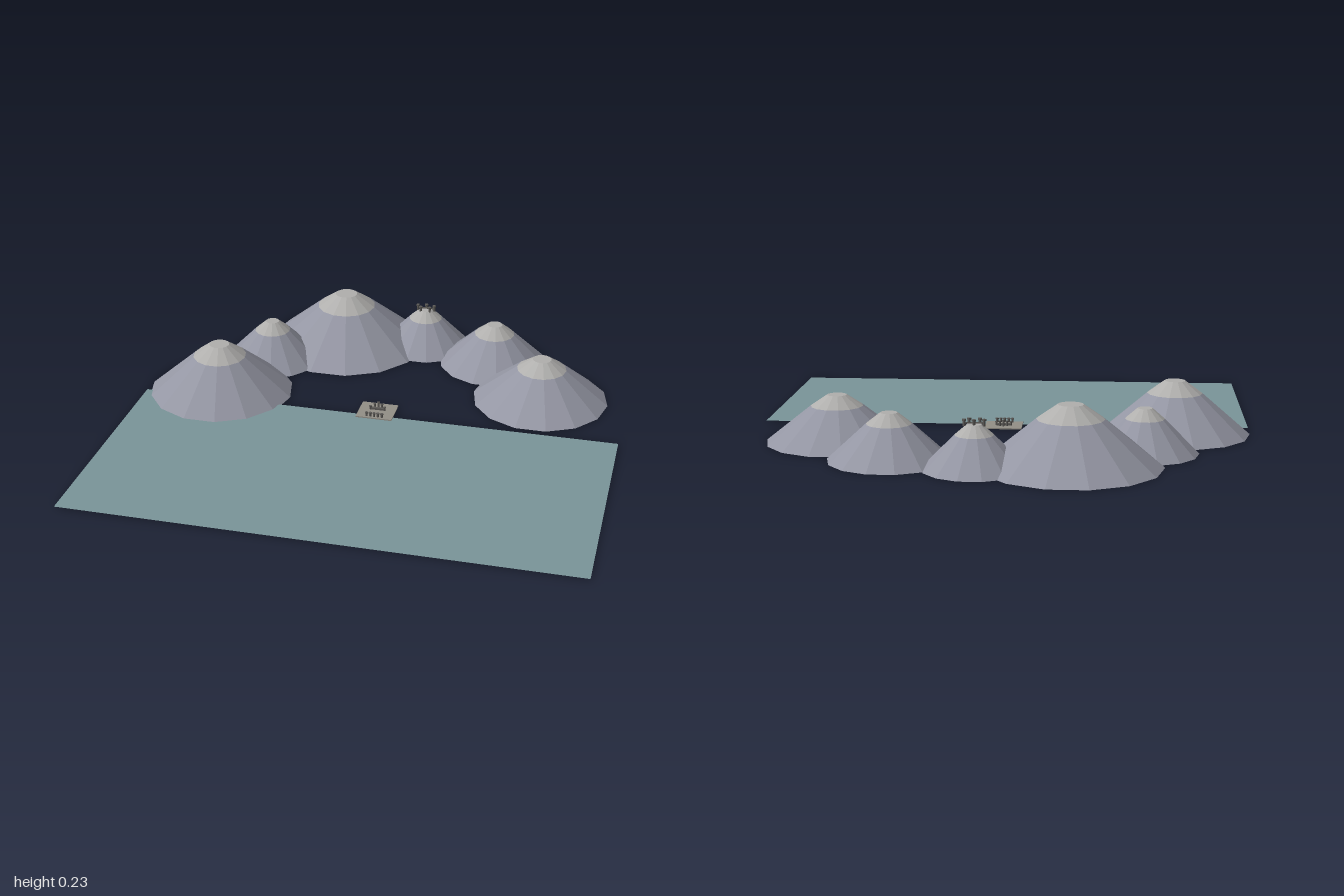
import * as THREE from 'three';

const mat = (color, extra = {}) => new THREE.MeshStandardMaterial({ color, ...extra });
const rock = mat(0x9496a3, { flatShading: true });
const snow = mat(0xb0afad, { flatShading: true });
const waterMat = mat(0x7a9599, { side: THREE.DoubleSide });
const paving = mat(0x938f87);
const stone = mat(0x5c5a57, { flatShading: true });

function add(parent, name, geometry, material, x = 0, y = 0, z = 0) {
  const mesh = new THREE.Mesh(geometry, material);
  mesh.name = name;
  mesh.position.set(x, y, z);
  parent.add(mesh);
  return mesh;
}

// Fourteen-sided truncated cone with a paler upper band
function mountain(x, z, radius, height) {
  const g = new THREE.Group();
  g.name = 'mountain';
  const bandY = height * 0.765, bandR = radius * 0.365, topR = radius * 0.138;
  add(g, 'slope', new THREE.CylinderGeometry(bandR, radius, bandY, 14), rock, 0, bandY / 2, 0);
  add(g, 'peak', new THREE.CylinderGeometry(topR, bandR, height - bandY, 14), snow, 0, (height + bandY) / 2, 0);
  g.position.set(x, 0, z);
  g.rotation.y = Math.PI / 2; // corners on the x axis
  return g;
}

// Small stone post with a wider head
function post(parent, x, y, z, height, radius) {
  add(parent, 'post', new THREE.CylinderGeometry(radius * 0.7, radius * 0.7, height, 8), stone, x, y + height / 2, z);
  add(parent, 'postHead', new THREE.CylinderGeometry(radius, radius, height * 0.25, 8), stone, x, y + height * 0.88, z);
}

export function createModel() {
  const model = new THREE.Group();
  model.name = 'mountainBay';

  // Ring of mountains: x, z, radius, height
  const peaks = [
    [-0.695, -0.064, 0.305, 0.217],
    [-0.57, -0.417, 0.21, 0.176],
    [-0.293, -0.65, 0.35, 0.235],
    [0.058, -0.71, 0.2, 0.167],
    [0.39, -0.596, 0.238, 0.182],
    [0.64, -0.3, 0.284, 0.187],
  ];
  for (const p of peaks) model.add(mountain(...p));

  // Sea
  const sea = add(model, 'sea', new THREE.PlaneGeometry(2, 0.964), waterMat, 0, 0.006, 0.5);
  sea.rotation.x = -Math.PI / 2;

  // Paved terrace on the shore
  add(model, 'terrace', new THREE.BoxGeometry(0.152, 0.005, 0.13), paving, 0, 0.0095, -0.015);

  // Shrine on the terrace: arc of posts, tallest in the middle
  const shrine = new THREE.Group();
  shrine.name = 'shrine';
  for (let i = -2; i <= 2; i++) {
    const k = Math.abs(i);
    post(shrine, i * 0.015, 0.012, -0.043 + k * k * 0.005, 0.026 - k * 0.005, 0.006);
  }
  add(shrine, 'altar', new THREE.BoxGeometry(0.06, 0.008, 0.012), stone, 0, 0.016, -0.026);
  model.add(shrine);

  // Row of low posts at the waterfront
  const row = new THREE.Group();
  row.name = 'waterfrontPosts';
  for (let i = -2; i <= 2; i++) post(row, i * 0.016, 0.012, 0.037, 0.017, 0.007);
  model.add(row);

  // Crown of posts on the small summit
  const crown = new THREE.Group();
  crown.name = 'summitPosts';
  const spots = [[-0.037, -0.008], [-0.02, 0.012], [0, -0.018], [0.02, 0.012], [0.037, -0.008]];
  for (const [x, z] of spots) post(crown, x, 0, z, 0.026, 0.008);
  add(crown, 'crossbar', new THREE.BoxGeometry(0.08, 0.005, 0.006), stone, 0, 0.012, -0.008);
  crown.position.set(0.058, 0.161, -0.705);
  model.add(crown);

  return model;
}
